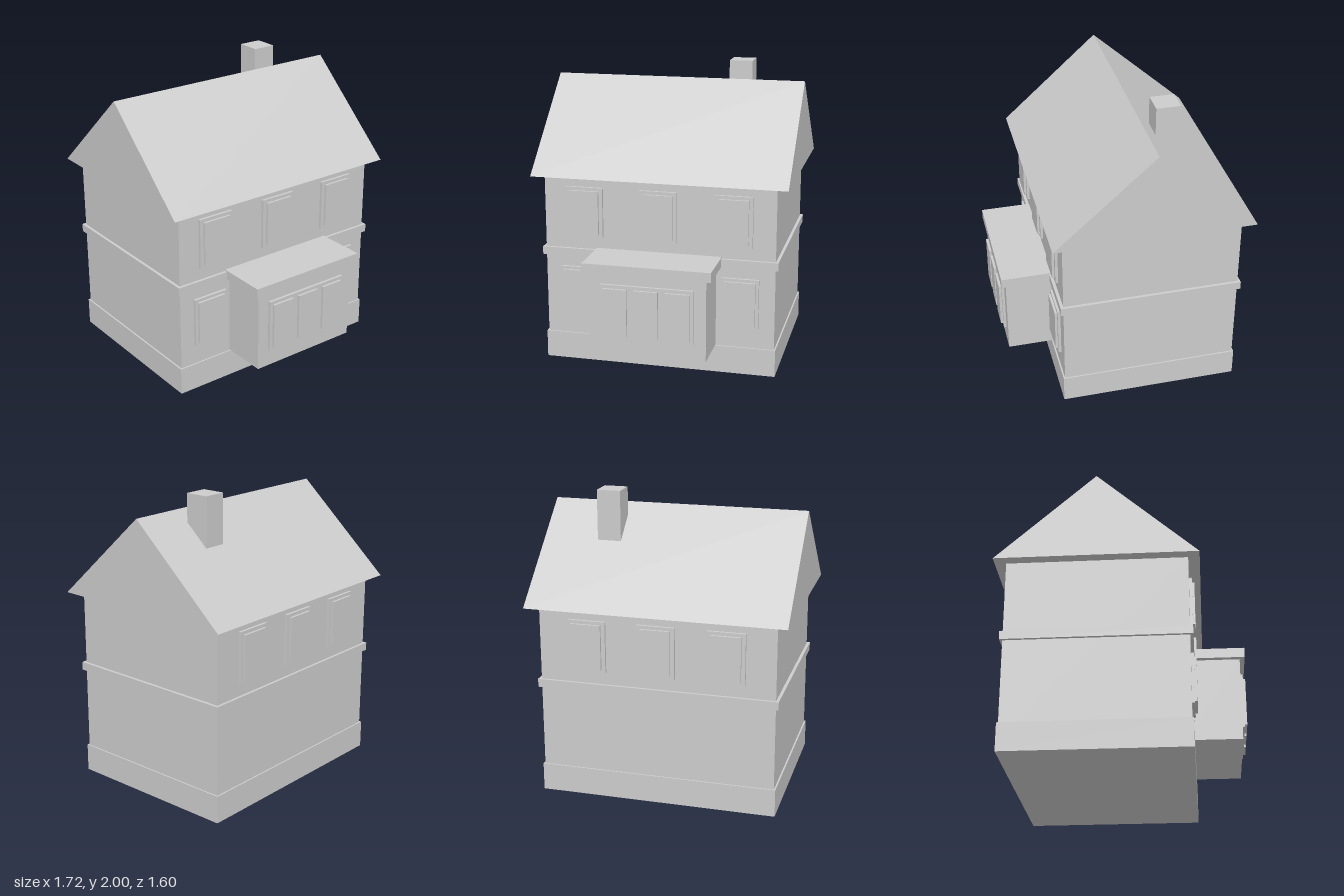
import * as THREE from 'three';

export function createModel() {
  const house = new THREE.Group();
  house.name = 'house';
  const stone = new THREE.MeshStandardMaterial({ color: 0xcccccc });
  stone.name = 'plain grey';

  // Box given by its limits on each axis
  function box(name, [x0, x1], [y0, y1], [z0, z1], parent = house) {
    const mesh = new THREE.Mesh(new THREE.BoxGeometry(x1 - x0, y1 - y0, z1 - z0), stone);
    mesh.position.set((x0 + x1) / 2, (y0 + y1) / 2, (z0 + z1) / 2);
    mesh.name = name;
    parent.add(mesh);
    return mesh;
  }

  // Frame with raised panes on a wall at z; side is 1 for front, -1 for back
  function windowUnit(name, x, y, width, height, z, side, paneXs, paneWidth, paneHeight) {
    const unit = new THREE.Group();
    unit.name = name;
    unit.position.set(x, y, z);
    if (side < 0) unit.rotation.y = Math.PI;
    box('windowFrame', [-width / 2, width / 2], [-height / 2, height / 2], [-0.02, 0.018], unit);
    for (const px of paneXs) {
      box('windowPane', [px - paneWidth / 2, px + paneWidth / 2],
        [-paneHeight / 2, paneHeight / 2], [0, 0.034], unit);
    }
    house.add(unit);
  }

  // Main walls, plinth and the band between floors
  box('walls', [-0.785, 0.78], [0.1, 1.29], [-0.72, 0.456]);
  box('plinth', [-0.796, 0.79], [0, 0.186], [-0.73, 0.466]);
  box('floorBand', [-0.805, 0.8], [0.74, 0.795], [-0.738, 0.476]);

  // Front bay with its flat roof
  box('bay', [-0.393, 0.387], [0.19, 0.75], [0.4, 0.768]);
  box('bayRoof', [-0.428, 0.423], [0.74, 0.805], [0.4, 0.8]);

  // Gabled roof, a triangular prism along x
  const gable = new THREE.Shape([
    new THREE.Vector2(-0.53, 1.29),
    new THREE.Vector2(0.795, 1.29),
    new THREE.Vector2(0.132, 1.886),
  ]);
  const roofGeometry = new THREE.ExtrudeGeometry(gable, { depth: 1.72, bevelEnabled: false });
  roofGeometry.translate(0, 0, -0.86).rotateY(Math.PI / 2);
  const roof = new THREE.Mesh(roofGeometry, stone);
  roof.name = 'roof';
  house.add(roof);

  // Chimney on the back slope
  box('chimney', [0.332, 0.49], [1.5, 2], [-0.374, -0.213]);

  // Upper windows, front and back
  for (const i of [-1, 0, 1]) {
    windowUnit('upperFrontWindow', i * 0.505 - 0.003, 1.05, 0.252, 0.344, 0.456, 1, [0], 0.2, 0.3);
    windowUnit('upperBackWindow', i * 0.46 - 0.003, 1.05, 0.252, 0.344, -0.72, -1, [0], 0.2, 0.3);
  }

  // Lower windows on either side of the bay
  for (const s of [-1, 1]) {
    windowUnit('lowerFrontWindow', s * 0.552 - 0.003, 0.496, 0.25, 0.34, 0.456, 1, [0], 0.208, 0.3);
  }

  // Triple bay window
  windowUnit('bayWindow', -0.003, 0.485, 0.618, 0.366, 0.768, 1, [-0.207, 0, 0.207], 0.158, 0.32);

  return house;
}
